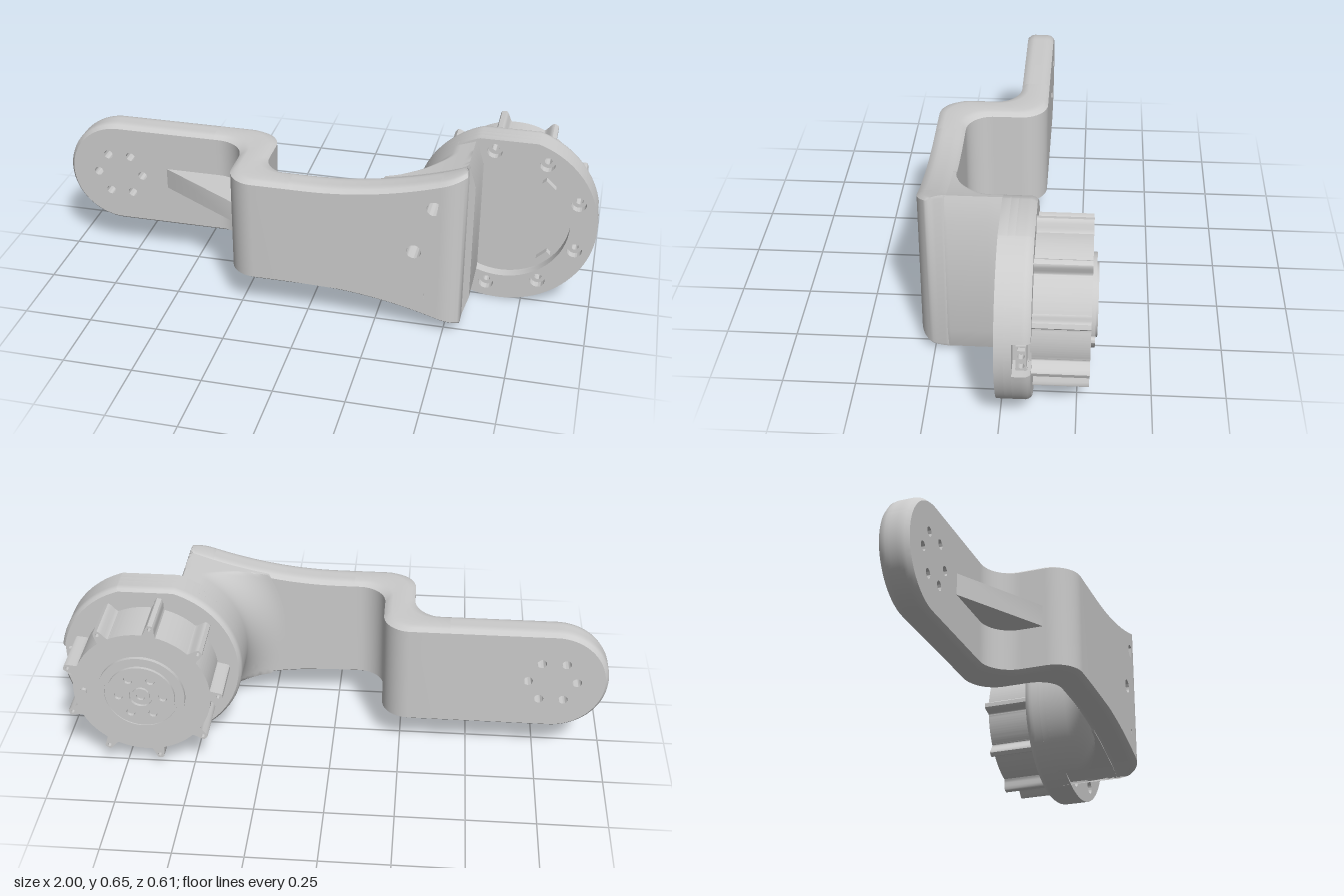
import * as THREE from 'three';
import { toCreasedNormals } from 'three/addons/utils/BufferGeometryUtils.js';

const CX = 0.667, CY = 0.333;            // motor axis; CY is also the arm's mid height
const PAD = -0.797;                      // centre of the paddle's round end
const BOLTS = Array.from({ length: 9 }, (_, i) => (20 + 40 * i) * Math.PI / 180);
const halfWidth = x => 0.203 + 0.105 * Math.max(0, x / 0.56) ** 2;
const cutX = y => 0.58 - 0.3 * Math.max(0, Math.abs(y - CY) - 0.225);

const material = new THREE.MeshStandardMaterial({ color: 0xcccccc });

function add(parent, name, geo) {
  const mesh = new THREE.Mesh(toCreasedNormals(geo, 0.75), material);
  mesh.name = name;
  parent.add(mesh);
  return mesh;
}

function circle(x, y, r) {
  return new THREE.Path().absarc(x, y, r, 0, Math.PI * 2, true);
}

function extrude(shape, z0, z1, steps = 1) {
  return new THREE.ExtrudeGeometry(shape, { depth: z1 - z0, steps, bevelEnabled: false, curveSegments: 32 })
    .translate(0, 0, z0);
}

function disc(x, y, r, z0, z1, sides = 64) {
  return new THREE.CylinderGeometry(r, r, z1 - z0, sides).rotateX(Math.PI / 2).translate(x, y, (z0 + z1) / 2);
}

// Pulls the outer wall of an extrusion towards its axis near the ends, rounding the edges
function roundEdges(geo, inset, axisX, minDist) {
  const p = geo.attributes.position;
  for (let i = 0; i < p.count; i++) {
    const x = p.getX(i), y = p.getY(i), ax = axisX(x);
    const d = Math.hypot(x - ax, y - CY), k = inset(p.getZ(i));
    if (d < minDist(x) || k === 0) continue;
    p.setXY(i, ax + (x - ax) * (1 - k / d), CY + (y - CY) * (1 - k / d));
  }
  return geo;
}
const edgeInset = (z0, z1) => z => {
  const u = (z - z0) / (z1 - z0), e = Math.min(u, 1 - u);
  return e < 0.01 ? 0.014 : e < 0.13 ? 0.003 : 0;
};

// Skins a list of closed loops, with capped ends
function loft(loops) {
  const n = loops[0].length, pos = [], idx = [];
  loops.forEach(l => l.forEach(p => pos.push(...p)));
  for (let i = 0; i < loops.length - 1; i++) for (let j = 0; j < n; j++) {
    const a = i * n + j, b = i * n + (j + 1) % n;
    idx.push(a, b, b + n, a, b + n, a + n);
  }
  [0, loops.length - 1].forEach(i => {
    const c = pos.length / 3;
    pos.push(...[0, 1, 2].map(k => loops[i].reduce((s, p) => s + p[k], 0) / n));
    for (let j = 0; j < n; j++) {
      const a = i * n + j, b = i * n + (j + 1) % n;
      idx.push(c, ...(i ? [a, b] : [b, a]));
    }
  });
  const g = new THREE.BufferGeometry();
  g.setAttribute('position', new THREE.Float32BufferAttribute(pos, 3));
  g.setIndex(idx);
  return g;
}

// Rounded section of the arm between a back point and a front point, each [x, z]
function armSection(back, front) {
  const side = [[0, 0.014], [0.125, 0.003], [0.25, 0], [0.75, 0], [0.875, 0.003], [1, 0.014]];
  const make = sign => ([u, inset]) => {
    const x = back[0] + (front[0] - back[0]) * u, z = back[1] + (front[1] - back[1]) * u;
    const y = CY + sign * (halfWidth(x) - inset);
    return [Math.min(x, cutX(y)), y, z];
  };
  return [...side.map(make(1)), ...side.slice().reverse().map(make(-1))];
}

function arc(cx, cz, r, from, to, n = 14) {
  return Array.from({ length: n + 1 }, (_, i) => {
    const a = (from + (to - from) * i / n) * Math.PI / 180;
    return [cx + r * Math.cos(a), cz + r * Math.sin(a)];
  });
}

function buildArm(arm) {
  // Paddle with six mounting holes
  const pad = new THREE.Shape();
  pad.moveTo(-0.42, CY + 0.203).lineTo(PAD, CY + 0.203);
  pad.absarc(PAD, CY, 0.203, Math.PI / 2, Math.PI * 1.5, false);
  pad.lineTo(-0.42, CY - 0.203);
  for (let i = 0; i < 6; i++) pad.holes.push(circle(PAD + 0.088 * Math.cos(i * Math.PI / 3), CY + 0.088 * Math.sin(i * Math.PI / 3), 0.017));
  add(arm, 'paddle', roundEdges(extrude(pad, -0.105, 0, 8), edgeInset(-0.105, 0), x => Math.max(x, PAD), () => 0.19));

  // S-shaped bend
  const back = [[-0.42, -0.105], ...arc(-0.28, -0.005, 0.1, -90, 0), ...arc(-0.08, 0.09, 0.1, 180, 90), [-0.06, 0.19]];
  const front = [[-0.42, 0], ...arc(-0.4, 0.11, 0.11, -90, 0), ...arc(-0.19, 0.2, 0.1, 180, 90), [-0.06, 0.3]];
  add(arm, 'bend', loft(back.map((b, i) => armSection(b, front[i]))));

  // Flaring plate with three bolt holes
  const top = Array.from({ length: 25 }, (_, i) => -0.06 + 0.53 * i / 24);
  const plate = new THREE.Shape([
    ...top.map(x => new THREE.Vector2(x, CY - halfWidth(x))),
    ...top.slice().reverse().map(x => new THREE.Vector2(x, CY + halfWidth(x)))]);
  BOLTS.slice(3, 6).forEach(a => plate.holes.push(circle(CX + 0.277 * Math.cos(a), CY + 0.277 * Math.sin(a), 0.026)));
  add(arm, 'plate', roundEdges(extrude(plate, 0.19, 0.3, 8), edgeInset(0.19, 0.3), x => x, x => 0.95 * halfWidth(x)));

  // Rounded end of the plate
  const endFront = [[0.47, 0.3], ...arc(0.48, 0.2, 0.1, 90, 0)];
  add(arm, 'plateEnd', loft(endFront.map((f, i) => armSection([0.47 + 0.105 * i / (endFront.length - 1), 0.19], f))));

  // Column from plate to ring: a filleted cylinder trimmed to the arm's width and the cut face
  const profile = [[0.333, -0.02], ...arc(0.463, 0.06, 0.13, 180, 90, 16), [0.463, 0.2]];
  add(arm, 'column', loft(profile.map(([r, z]) => {
    const loop = Array.from({ length: 65 }, (_, i) => {
      const a = (100 + 160 * i / 64) * Math.PI / 180;
      const x = Math.min(0.58, CX + r * Math.cos(a)), w = halfWidth(x) - 0.002;
      const y = CY + THREE.MathUtils.clamp(r * Math.sin(a), -w, w);
      return [Math.min(x, cutX(y)), y, z];
    });
    return [...loop, [0.58, CY - 0.225, z], [0.58, CY + 0.225, z]];
  })));

  // Triangular stiffening rib under the bend
  const rib = new THREE.Shape([[-0.61, 0], [-0.61, -0.03], [-0.25, -0.03], [-0.25, 0.19], [-0.29, 0.19]].map(p => new THREE.Vector2(p[0], -p[1])));
  add(arm, 'rib', extrude(rib, 0.295, 0.375).rotateX(-Math.PI / 2));
}

// Ring outline with a flat on top, optionally notched for the connector
function ringShape(boltRadius, notch) {
  const R = 0.333, flat = Math.asin(0.317 / R), gap = notch ? Math.asin(0.065 / R) : 0;
  const s = new THREE.Shape();
  s.absarc(CX, CY, R, gap, flat, false);
  s.absarc(CX, CY, R, Math.PI - flat, Math.PI * 2 - gap, false);
  if (notch) s.lineTo(0.912, CY - 0.065).lineTo(0.912, CY + 0.065);
  s.holes.push(circle(CX, CY, 0.237));
  BOLTS.forEach(a => s.holes.push(circle(CX + 0.277 * Math.cos(a), CY + 0.277 * Math.sin(a), boltRadius)));
  return s;
}

function buildMotor(motor) {
  add(motor, 'ringFront', extrude(ringShape(0.027, false), -0.02, 0.01));
  add(motor, 'ringMiddle', extrude(ringShape(0.013, false), -0.045, -0.02));
  const backInset = z => z < -0.104 ? 0.011 : z < -0.094 ? 0.003 : 0;
  add(motor, 'ringBack', roundEdges(extrude(ringShape(0.013, true), -0.105, -0.045, 6), backInset, () => CX, () => 0.314));
  add(motor, 'frontFace', disc(CX, CY, 0.238, -0.11, -0.03));
  [1, -1].forEach(s => add(motor, 'clip', new THREE.BoxGeometry(0.05, 0.02, 0.03).rotateZ(-s * 0.77).translate(CX + 0.15, CY + s * 0.145, -0.02)));

  // Ribbed housing with a screw hole in every rib
  const outline = Array.from({ length: 450 }, (_, i) => {
    const a = i / 450 * Math.PI * 2;
    const d = Math.min(...BOLTS.map(b => Math.abs(Math.atan2(Math.sin(a - b), Math.cos(a - b)))));
    const r = 0.247 + 0.043 * (1 - THREE.MathUtils.smoothstep(d, 0.03, 0.095));
    return new THREE.Vector2(CX + r * Math.cos(a), CY + r * Math.sin(a));
  });
  const body = new THREE.Shape(outline);
  BOLTS.forEach(a => body.holes.push(circle(CX + 0.276 * Math.cos(a), CY + 0.276 * Math.sin(a), 0.007)));
  add(motor, 'housing', extrude(body, -0.29, -0.1));

  // Output flange, hub with bolt circle and centre bore
  add(motor, 'flange', disc(CX, CY, 0.157, -0.3, -0.285));
  const rim = new THREE.Shape().absarc(CX, CY, 0.157, 0, Math.PI * 2, false);
  rim.holes.push(circle(CX, CY, 0.132));
  add(motor, 'flangeRim', extrude(rim, -0.304, -0.298));
  const hub = new THREE.Shape().absarc(CX, CY, 0.122, 0, Math.PI * 2, false);
  hub.holes.push(circle(CX, CY, 0.042));
  for (let i = 0; i < 6; i++) hub.holes.push(circle(CX + 0.08 * Math.cos(i * Math.PI / 3), CY + 0.08 * Math.sin(i * Math.PI / 3), 0.016));
  add(motor, 'hub', extrude(hub, -0.311, -0.298));
  const bore = new THREE.Shape().absarc(CX, CY, 0.032, 0, Math.PI * 2, false);
  bore.holes.push(circle(CX, CY, 0.016));
  add(motor, 'bore', extrude(bore, -0.309, -0.298));
  add(motor, 'pin', disc(0.877, CY, 0.013, -0.303, -0.285, 24));

  // Two-pin connector facing sideways out of the notch
  const plug = new THREE.Shape([[0.058, 0.28], [0.092, 0.28], [0.092, 0.377], [0.058, 0.377]].map(p => new THREE.Vector2(...p)));
  [0.3, 0.337].forEach(y => plug.holes.push(circle(0.075, y, 0.011)));
  plug.holes.push(new THREE.Path([[0.063, 0.358], [0.063, 0.372], [0.087, 0.372], [0.087, 0.358]].map(p => new THREE.Vector2(...p))));
  add(motor, 'connector', extrude(plug, 0.905, 0.975).rotateY(Math.PI / 2));
  [0.3, 0.337].forEach(y => add(motor, 'contact', new THREE.CylinderGeometry(0.006, 0.006, 0.05, 16).rotateZ(Math.PI / 2).translate(0.935, y, -0.075)));
  [0.274, 0.383].forEach(y => add(motor, 'connectorTab', new THREE.BoxGeometry(0.05, 0.006, 0.04).translate(0.935, y, -0.075)));
}

export function createModel() {
  const model = new THREE.Group();
  model.name = 'motorBracket';
  const arm = new THREE.Group(), motor = new THREE.Group();
  arm.name = 'arm';
  motor.name = 'motor';
  buildArm(arm);
  buildMotor(motor);
  model.add(arm, motor);
  return model;
}
